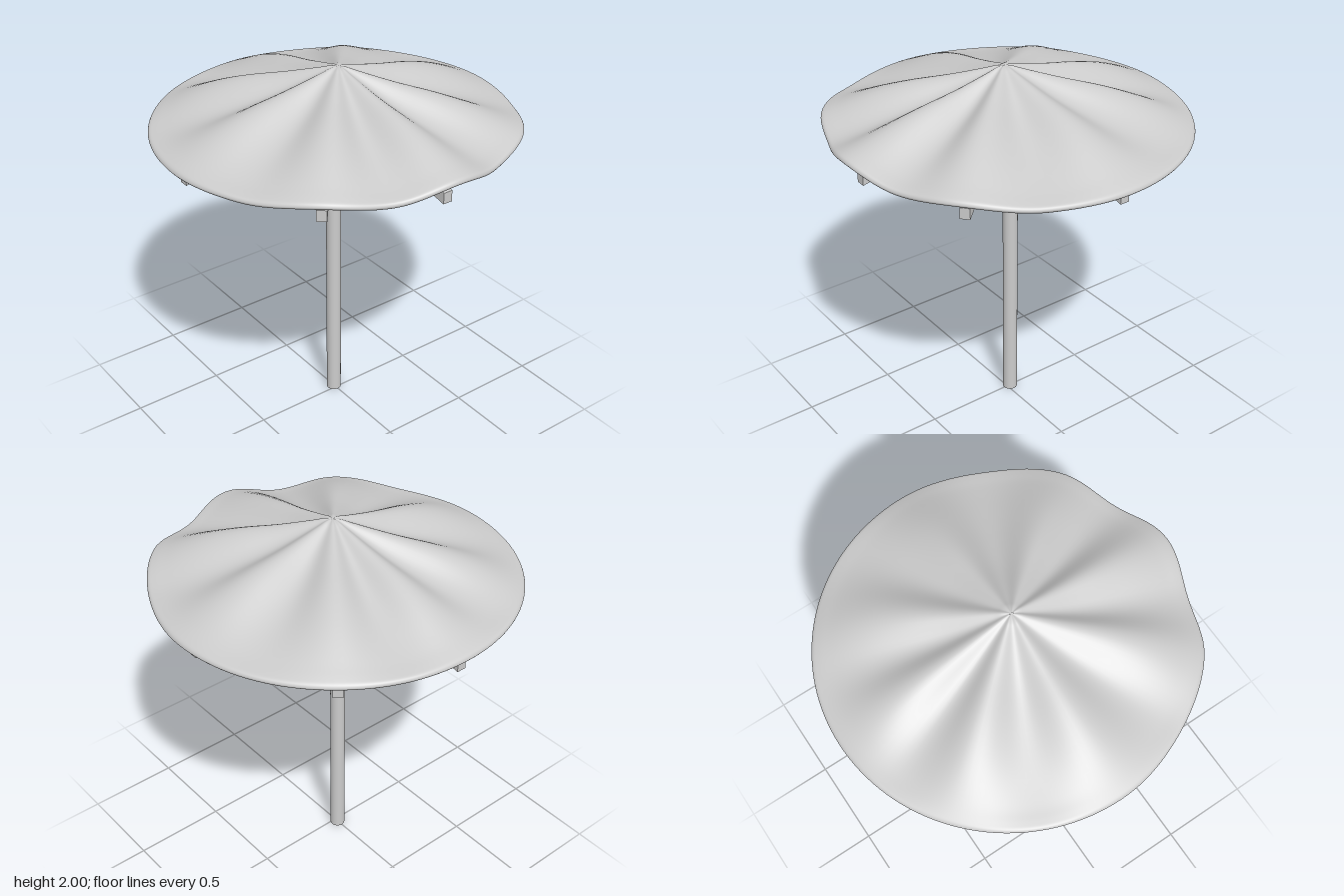
import * as THREE from 'three';
import { mergeVertices } from 'three/addons/utils/BufferGeometryUtils.js';

const grey = new THREE.MeshStandardMaterial({ color: 0xcccccc });
const R = 0.94;        // canopy radius
const poleX = -0.02;   // the pole stands slightly off centre

// Directions of the ribs in degrees from +x, and how far each lifts the rim
const ribs = [
  [0, 0.055], [40, 0.03], [90, 0], [140, 0], [180, 0], [220, 0], [270, 0], [320, 0.03], [360, 0.055],
];

// Cloth shape in one direction: ridge is 1 on a rib and 0 midway between two
function cloth(deg) {
  let i = 0;
  while (i < ribs.length - 2 && deg >= ribs[i + 1][0]) i++;
  const [a, liftA] = ribs[i];
  const [b, liftB] = ribs[i + 1];
  const u = (deg - a) / (b - a);
  const ridge = (1 + Math.cos(2 * Math.PI * u)) / 2;
  const indent = liftA && liftB ? 0.035 : (liftA || liftB ? 0.012 : 0);
  return { ridge, lift: ridge * (u < 0.5 ? liftA : liftB), indent: indent * (1 - ridge) };
}

// Canopy: a lathed shell with a rounded rim, draped over the ribs
function makeCanopy() {
  const top = [[0, 2], [0.04, 1.992], [0.1, 1.965], [0.3, 1.88], [0.5, 1.815], [0.7, 1.76], [0.83, 1.728], [0.9, 1.715]];
  const under = top.map(([r, y]) => [r * 0.99, y - 0.032]);
  const rim = [[0.927, 1.678], [0.938, 1.686], [0.94, 1.696], [0.93, 1.708]];
  const outline = [...under, ...rim, ...top.reverse()].map(([r, y]) => new THREE.Vector2(r, y));
  const profile = new THREE.SplineCurve(outline).getPoints(90);
  profile.forEach((p) => { p.x = Math.max(p.x, 0); });

  let geo = new THREE.LatheGeometry(profile, 144);
  const pos = geo.attributes.position;
  for (let i = 0; i < pos.count; i++) {
    const x = pos.getX(i), z = pos.getZ(i);
    const t = Math.min(Math.hypot(x, z) / R, 1);
    const deg = (THREE.MathUtils.radToDeg(Math.atan2(z, x)) + 360) % 360;
    const { ridge, lift, indent } = cloth(deg);
    const s = 1 - indent * t ** 3;
    const drape = 0.072 * ridge * Math.sin(Math.PI * t ** 1.2);
    pos.setXYZ(i, x * s + 0.02 * (1 - t) ** 2, pos.getY(i) + drape + lift * t ** 3, z * s);
  }
  geo.deleteAttribute('uv');
  geo.deleteAttribute('normal');
  geo = mergeVertices(geo, 1e-5);
  geo.computeVertexNormals();
  return geo;
}

// Rib: a bar sheared downwards so that its ends stay vertical
function makeRib() {
  const inner = 0.09, outer = 0.88, width = 0.05, height = 0.058, slope = 0.22;
  const geo = new THREE.BoxGeometry(outer - inner, height, width);
  geo.translate((inner + outer) / 2, 0, 0);
  const pos = geo.attributes.position;
  for (let i = 0; i < pos.count; i++) {
    pos.setY(i, pos.getY(i) + 1.639 + slope * (outer - pos.getX(i)));
  }
  geo.computeVertexNormals();
  return geo;
}

export function createModel() {
  const model = new THREE.Group();
  model.name = 'parasol';
  const add = (name, geo, x = 0, y = 0) => {
    const mesh = new THREE.Mesh(geo, grey);
    mesh.name = name;
    mesh.position.set(x, y, 0);
    model.add(mesh);
    return mesh;
  };

  add('canopy', makeCanopy());
  add('pole', new THREE.CylinderGeometry(0.04, 0.04, 1.84, 32), poleX, 0.92);
  add('hub', new THREE.CylinderGeometry(0.1, 0.1, 0.03, 32), poleX, 1.83);

  const rib = makeRib();
  ribs.slice(0, -1).forEach(([deg]) => {
    add('rib', rib, poleX).rotation.y = -THREE.MathUtils.degToRad(deg);
  });
  return model;
}
